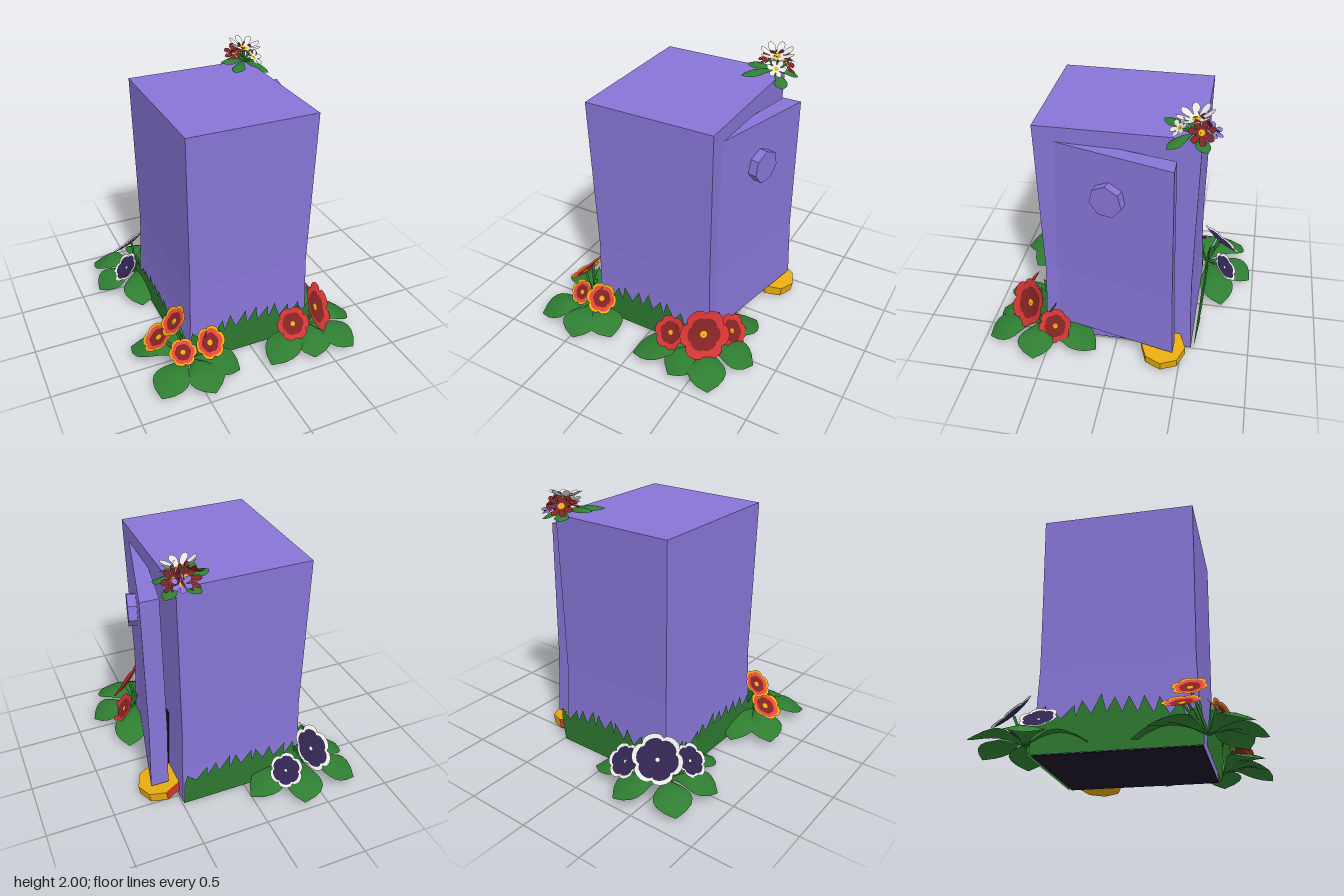
import * as THREE from 'three';

const mat = (name, color) => {
  const m = new THREE.MeshStandardMaterial({ color, side: THREE.DoubleSide });
  m.name = name;
  return m;
};

export function createModel() {
  const purple = mat('purple', 0x8774d6), dark = mat('darkInterior', 0x1c1528);
  const green = mat('leafGreen', 0x2f7d32), red = mat('red', 0xd23434);
  const maroon = mat('maroon', 0x822323), gold = mat('gold', 0xeaae10);
  const coral = mat('coral', 0xe8463a), white = mat('white', 0xe6e6e2);
  const violet = mat('darkViolet', 0x30244e);
  const root = new THREE.Group();
  const V = (x, y, z) => new THREE.Vector3(x, y, z);
  let seed = 7;
  const rnd = () => (seed = (seed * 16807) % 2147483647) / 2147483647;

  const add = (name, geo, material, parent = root) => {
    const m = new THREE.Mesh(geo, material);
    m.name = name;
    parent.add(m);
    return m;
  };
  const group = (name) => {
    const g = new THREE.Group();
    g.name = name;
    root.add(g);
    return g;
  };

  // Closed flat-sided solid through four-cornered rings, listed bottom to top
  const loft = (rings) => {
    const p = [];
    const quad = (a, b, c, d) => p.push(...a, ...b, ...c, ...a, ...c, ...d);
    for (let r = 0; r < rings.length - 1; r++)
      for (let i = 0; i < 4; i++) {
        const j = (i + 1) % 4;
        quad(rings[r][i], rings[r][j], rings[r + 1][j], rings[r + 1][i]);
      }
    const t = rings[rings.length - 1], b = rings[0];
    quad(t[0], t[1], t[2], t[3]);
    quad(b[3], b[2], b[1], b[0]);
    const g = new THREE.BufferGeometry();
    g.setAttribute('position', new THREE.Float32BufferAttribute(p, 3));
    g.computeVertexNormals();
    return g;
  };
  const rect = (y, x0, x1, z0, z1) => [[x0, y, z1], [x1, y, z1], [x1, y, z0], [x0, y, z0]];

  // Waisted tower body with a dark underside and a dark gap below the door
  add('body', loft([
    rect(0.005, -0.48, 0.49, -0.57, 0.56), rect(0.3, -0.465, 0.48, -0.553, 0.545),
    rect(0.62, -0.456, 0.471, -0.545, 0.536), rect(1.1, -0.463, 0.478, -0.55, 0.544),
    rect(1.81, -0.473, 0.489, -0.56, 0.555)]), purple);
  add('underside', new THREE.BoxGeometry(0.97, 0.005, 1.13).translate(0.005, 0.0025, -0.005), dark);
  add('doorway', loft([
    rect(0.075, 0.3, 0.492, -0.27, -0.1), rect(0.1, 0.3, 0.491, -0.27, 0.04),
    rect(0.62, 0.3, 0.476, -0.27, 0.04)]), dark);

  // Door standing ajar, hinged near the front corner
  const leafRing = (x, zEnd, yHinge, yEnd) => [
    [x, yHinge, 0.53], [x + 0.225, yEnd, zEnd], [x + 0.09, yEnd, zEnd], [x - 0.04, yHinge, 0.4]];
  add('door', loft([
    leafRing(0.468, -0.45, 0.125, 0.125), leafRing(0.452, -0.43, 0.62, 0.62),
    leafRing(0.459, -0.41, 1.705, 1.675)]), purple);
  const knob = add('doorKnob', new THREE.CylinderGeometry(0.12, 0.12, 0.07, 7).toNonIndexed(), purple);
  knob.geometry.computeVertexNormals();
  knob.position.set(0.605, 1.365, 0.035);
  knob.quaternion.setFromUnitVectors(V(0, 1, 0), V(0.973, 0, 0.23).normalize());

  // Tilted gold disc by the door, red on its hidden quarter
  const disc = group('goldDisc');
  for (const [start, sides, m] of [[-Math.PI / 2, 6, gold], [Math.PI, 2, red]]) {
    const g = new THREE.CylinderGeometry(0.165, 0.165, 0.075, sides, 1, true, start, sides * Math.PI / 4).toNonIndexed();
    g.computeVertexNormals();
    add('discRim', g, m, disc);
  }
  for (const s of [1, -1])
    add('discFace', new THREE.CircleGeometry(0.165, 8).rotateX(-s * Math.PI / 2).translate(0, s * 0.0375, 0), gold, disc);
  disc.position.set(0.6, 0.065, -0.37);
  disc.rotation.z = -0.16;

  // Jagged grass leaning slightly outward along three sides
  const grass = (length, x, z, turn, low, high) => {
    const s = new THREE.Shape(), n = 11, w = length / n;
    s.moveTo(length / 2, 0);
    s.lineTo(-length / 2, 0);
    for (let i = 0; i < n; i++) {
      const x0 = -length / 2 + i * w, swell = Math.sin(Math.PI * (i + 0.5) / n);
      const valley = low + 0.07 * swell;
      s.lineTo(x0, valley);
      s.lineTo(x0 + w * (0.1 + 0.9 * rnd()), valley + 0.04 + (high - low) * (0.4 + 0.3 * swell) * (0.6 + 0.5 * rnd()));
    }
    s.lineTo(length / 2, low);
    const g = new THREE.ShapeGeometry(s), p = g.attributes.position;
    for (let i = 0; i < p.count; i++) p.setZ(i, 0.12 * p.getY(i));
    g.computeVertexNormals();
    const m = add('grass', g, green);
    m.position.set(x, 0, z);
    m.rotation.y = turn;
  };
  grass(0.98, 0, 0.582, 0, 0.19, 0.34);
  grass(0.98, 0, -0.59, Math.PI, 0.2, 0.34);
  grass(1.14, -0.5, 0, -Math.PI / 2, 0.18, 0.3);

  // Broad arched leaf from a base point to a tip
  const leaf = (parent, base, tip, width, arch) => {
    const g = new THREE.PlaneGeometry(1, 1, 10, 4), p = g.attributes.position;
    const along = tip.clone().sub(base), side = V(-along.z, 0, along.x).normalize();
    for (let i = 0; i < p.count; i++) {
      const u = p.getX(i) + 0.5, v = p.getY(i) * 2;
      const w = width * (0.12 + 0.88 * Math.sin(Math.PI * Math.pow(u, 1.8))) * (u > 0.99 ? 0.3 : 1);
      const q = base.clone().addScaledVector(along, u).addScaledVector(side, v * w);
      q.y += arch * Math.sin(Math.PI * u) - 0.03 * v * v * Math.sin(Math.PI * u);
      p.setXYZ(i, q.x, q.y, q.z);
    }
    g.computeVertexNormals();
    add('leaf', g, green, parent);
  };

  // Cupped, scalloped flower of concentric colour bands: layers are [radius, material], outermost first
  const flower = (parent, at, normal, layers, petals = 6, notch = 0.16, cup = 0.9) => {
    const f = new THREE.Group(), outer = layers[0][0];
    f.name = 'flower';
    layers.forEach(([r, m], k) => {
      const inner = k + 1 < layers.length ? layers[k + 1][0] : 0;
      const g = new THREE.RingGeometry(inner, r, petals * 8, 3), p = g.attributes.position;
      for (let i = 0; i < p.count; i++) {
        const a = Math.atan2(p.getY(i), p.getX(i)), d = Math.hypot(p.getX(i), p.getY(i));
        const c = 1 - notch * (d / outer) * (1 - Math.sqrt(Math.abs(Math.cos(a * petals / 2))));
        const x = p.getX(i) * c, y = p.getY(i) * c;
        p.setXYZ(i, x, y, cup * (x * x + y * y));
      }
      g.computeVertexNormals();
      add('petals', g, m, f);
    });
    f.position.copy(at);
    f.quaternion.setFromUnitVectors(V(0, 0, 1), normal.clone().normalize());
    parent.add(f);
  };
  const stem = (parent, from, to) =>
    add('stem', new THREE.TubeGeometry(new THREE.LineCurve3(from, to), 1, 0.01, 5), green, parent);

  const poppy = (r) => [[r, red], [r * 0.66, maroon], [r * 0.14, gold]];
  const blaze = (r) => [[r, gold], [r * 0.84, coral], [r * 0.58, maroon], [r * 0.17, gold]];
  const pansy = (r) => [[r, white], [r * 0.82, violet], [r * 0.08, white]];

  // Corner flower beds: base, leaf tips [x, z], flowers [x, y, z, nx, ny, nz, radius]
  const beds = [
    ['redFlowerBed', poppy, V(0.48, 0.06, 0.6),
      [[0.03, 0.88], [0.36, 0.94], [0.68, 0.95], [0.85, 0.57], [0.68, 0.13]],
      [[0.27, 0.235, 0.74, -0.1, 0.6, 0.8, 0.125], [0.5, 0.265, 0.67, 0.65, 0.48, 0.6, 0.185],
        [0.62, 0.17, 0.45, 0.8, 0.62, 0.1, 0.13]]],
    ['orangeFlowerBed', blaze, V(-0.5, 0.06, 0.6),
      [[-0.58, 0.12], [-0.84, 0.28], [-0.81, 0.87], [-0.45, 0.97], [-0.2, 0.83]],
      [[-0.37, 0.235, 0.68, 0.2, 0.6, 0.8, 0.12], [-0.57, 0.2, 0.66, -0.2, 0.65, 0.75, 0.1],
        [-0.57, 0.36, 0.5, -0.72, 0.7, -0.03, 0.12], [-0.68, 0.22, 0.46, -0.55, 0.82, -0.05, 0.13]]],
    ['violetFlowerBed', pansy, V(-0.5, 0.06, -0.6),
      [[-0.79, -0.88], [-0.32, -0.97], [0.02, -0.76], [-0.86, -0.49], [-0.6, -0.15]],
      [[-0.5, 0.28, -0.7, -0.4, 0.7, -0.55, 0.18], [-0.26, 0.2, -0.76, 0.05, 0.68, -0.72, 0.13],
        [-0.62, 0.2, -0.48, -0.72, 0.7, 0, 0.13]]]];
  for (const [name, kind, base, tips, blooms] of beds) {
    const bed = group(name), sx = Math.sign(base.x), sz = Math.sign(base.z);
    for (const [x, z] of tips) leaf(bed, base, V(x, 0.04, z), 0.135, 0.09);
    for (const [dx, dz] of [[0.04, -0.14], [-0.12, 0.05]])
      leaf(bed, base, V(base.x + sx * dx, 0.32, base.z + sz * dz), 0.03, 0);
    for (const [x, y, z, nx, ny, nz, r] of blooms) {
      const at = V(x, y, z);
      flower(bed, at, V(nx, ny, nz), kind(r));
      stem(bed, base, at.clone().addScaledVector(V(nx, ny, nz), -0.004));
    }
  }

  // Small posy on the roof corner
  const posy = group('roofPosy'), heart = V(0.44, 1.83, -0.5);
  for (const [x, z, y] of [[0.27, -0.29, 1.83], [0.23, -0.47, 1.85], [0.36, -0.66, 1.8], [0.57, -0.34, 1.77], [0.58, -0.6, 1.77]])
    leaf(posy, heart, V(x, y, z), 0.05, 0.03);
  const posyBlooms = [
    [V(0.44, 1.93, -0.51), V(0.1, 1, 0.2), 0.125, white, 8],
    [V(0.42, 1.88, -0.57), V(-0.4, 0.65, -0.6), 0.1, maroon, 8],
    [V(0.37, 1.9, -0.53), V(-0.4, 0.7, 0.35), 0.08, maroon, 7],
    [V(0.5, 1.87, -0.55), V(0.85, 0.5, -0.2), 0.09, maroon, 7],
    [V(0.48, 1.88, -0.41), V(0.4, 0.7, 0.6), 0.07, white, 6],
    [V(0.47, 1.87, -0.62), V(0.2, 0.8, -0.5), 0.07, purple, 6]];
  for (const [at, n, r, m, petals] of posyBlooms) {
    flower(posy, at, n, [[r, m], [r * 0.24, gold]], petals, 0.65, 3);
    stem(posy, heart, at);
  }

  return root;
}
